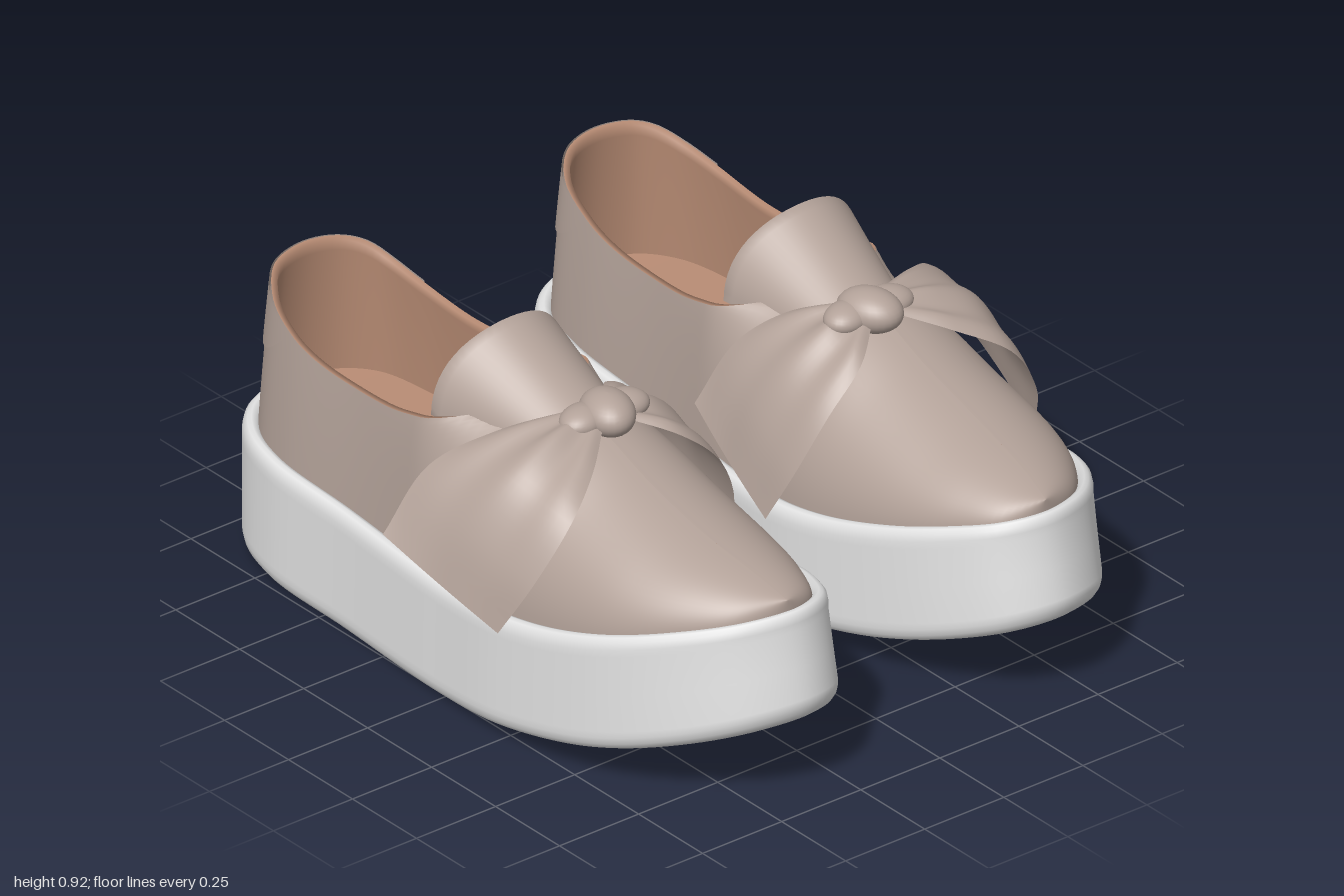
import * as THREE from 'three';

const V = (x, y, z) => new THREE.Vector3(x, y, z);
const smooth = (a, b, t) => THREE.MathUtils.smoothstep(t, a, b);
const lerp = THREE.MathUtils.lerp;

const fabric = new THREE.MeshStandardMaterial({ name: 'taupe fabric', color: 0xb3a299, side: THREE.DoubleSide });
const rubber = new THREE.MeshStandardMaterial({ name: 'white rubber', color: 0xe2e2e2 });
const leather = new THREE.MeshStandardMaterial({ name: 'tan leather', color: 0xb88c74, side: THREE.DoubleSide });

// Smooth curve through [position, value] pairs
function along(table, t) {
  const n = table.length;
  if (t <= table[0][0]) return table[0][1];
  if (t >= table[n - 1][0]) return table[n - 1][1];
  let i = 0;
  while (t > table[i + 1][0]) i++;
  const slope = (k) => {
    const a = table[Math.max(k - 1, 0)], b = table[Math.min(k + 1, n - 1)];
    return (b[1] - a[1]) / (b[0] - a[0]);
  };
  const [x0, y0] = table[i], [x1, y1] = table[i + 1];
  const h = x1 - x0, s = (t - x0) / h, s2 = s * s, s3 = s2 * s;
  return (2 * s3 - 3 * s2 + 1) * y0 + (s3 - 2 * s2 + s) * h * slope(i)
    + (3 * s2 - 2 * s3) * y1 + (s3 - s2) * h * slope(i + 1);
}

// Skin over rows of points; closed joins the end of each row to its start
function loft(rows, closed) {
  const n = rows[0].length, idx = [];
  for (let j = 0; j < rows.length - 1; j++) {
    for (let i = 0; i < (closed ? n : n - 1); i++) {
      const k = (i + 1) % n;
      const a = j * n + i, b = a + n, c = (j + 1) * n + k, d = j * n + k;
      idx.push(a, b, c, a, c, d);
    }
  }
  const g = new THREE.BufferGeometry().setFromPoints(rows.flat());
  g.setIndex(idx);
  g.computeVertexNormals();
  return g;
}

// Plan outline of the sole: heel, outer side, toe, inner side
const N = 180;
const plan = new THREE.CatmullRomCurve3([
  [0.455, -0.985], [0.6, -0.95], [0.695, -0.85], [0.742, -0.7], [0.755, -0.4], [0.785, 0], [0.8, 0.28],
  [0.755, 0.6], [0.66, 0.81], [0.54, 0.945], [0.39, 0.995], [0.27, 0.945], [0.185, 0.8], [0.12, 0.58],
  [0.085, 0.28], [0.11, 0], [0.155, -0.4], [0.18, -0.7], [0.225, -0.86], [0.32, -0.952],
].map(([x, z]) => V(x, 0, z)), true);
const outline = plan.getSpacedPoints(N).slice(0, N);
const inward = outline.map((p, i) => {
  const t = outline[(i + 1) % N].clone().sub(outline[(i + N - 1) % N]).normalize();
  return V(-t.z, 0, t.x);
});

// Profiles along the length
const middle = (z) => along([[-1, 0.456], [-0.4, 0.455], [0, 0.448], [0.3, 0.442], [0.6, 0.437], [0.8, 0.42], [1, 0.39]], z);
const soleTop = (z) => along([[-1, 0.37], [-0.6, 0.347], [0, 0.335], [0.2, 0.35], [0.4, 0.38], [0.6, 0.43], [0.8, 0.49], [0.96, 0.54]], z);
const soleBottom = (z) => along([[-1, 0.025], [-0.7, 0.003], [-0.3, 0], [0, 0.008], [0.2, 0.028], [0.4, 0.06], [0.6, 0.105], [0.8, 0.17], [1, 0.25]], z);
const topline = (z) => along([[-0.95, 0.772], [-0.88, 0.752], [-0.8, 0.715], [-0.65, 0.67], [-0.5, 0.652], [-0.3, 0.664],
  [-0.14, 0.705], [0, 0.745], [0.15, 0.77], [0.25, 0.745], [0.4, 0.688], [0.6, 0.632], [0.8, 0.587], [0.92, 0.55]], z);

// One point of the sole wall: inset d, height fraction h, height offset dy
function solePoint(i, d, h, dy) {
  const p = outline[i].clone().addScaledVector(inward[i], d);
  p.z -= 0.04 * smooth(0.5, 1, p.z) * h;
  p.y = lerp(soleBottom(p.z), soleTop(p.z), h) + dy;
  return p;
}
const ring = (d, h, dy) => outline.map((_, i) => solePoint(i, d, h, dy));
const towardMiddle = (row, f) => row.map((p) => V(lerp(p.x, middle(p.z), f), p.y, p.z));

// One point of the upper: v climbs from the sole to the collar, or to the ridge at the toe
function upperPoint(i, v, inset, drop) {
  const base = solePoint(i, 0.04 + inset, 1, -0.02);
  const top = outline[i].clone().addScaledVector(inward[i], 0.072 + inset);
  const close = smooth(-0.16, 0.17, base.z);
  top.x = lerp(top.x, middle(base.z), close);
  top.z = lerp(top.z, base.z, close);
  top.y = topline(base.z) - drop * close;
  const arch = lerp(0.15, 1, smooth(-0.4, 0.1, base.z)), a = v * Math.PI / 2;
  const across = lerp(v, 1 - Math.cos(a), arch), rise = lerp(v, Math.sin(a), arch);
  return V(lerp(base.x, top.x, across), lerp(base.y, top.y, rise), lerp(base.z, top.z, across));
}
const steps = (n) => Array.from({ length: n + 1 }, (_, k) => k / n);
const upperRow = (v, inset, drop) => outline.map((_, i) => upperPoint(i, v, inset, drop));

// Heel patch: a thin raised panel with a rounded lower edge
function heelPatch() {
  const half = 17, cols = [];
  for (let k = -half; k <= half; k++) cols.push(k);
  return loft(steps(8).map((t) => cols.map((k) => {
    const i = (k + N) % N, low = 0.5 + 0.48 * Math.abs(k / half) ** 4;
    return upperPoint(i, lerp(low, 1, t), 0, 0).addScaledVector(inward[i], -0.005);
  })), false);
}

// Tongue: an arch that widens and rises toward the opening
function tonguePoint(t, u, thick) {
  const a = u * Math.PI, s = Math.sin(a);
  const z = lerp(0.24, -0.145 + 0.045 * s ** 3, t);
  const w = lerp(0.12, 0.215, t) - thick, low = lerp(0.67, 0.7, t);
  const high = lerp(0.755, 0.922, t ** 1.1) - thick;
  return V(lerp(0.435, 0.457, t) + w * Math.cos(a), low + (high - low) * s, z);
}
const tongueRow = (t, thick) => steps(28).map((u) => tonguePoint(t, u, thick));

// Bow wing: cloth between a front and a back edge, puffed up and pleated at the knot
function wing(back, front, side) {
  const B = new THREE.CatmullRomCurve3(back.map((p) => V(...p)));
  const F = new THREE.CatmullRomCurve3(front.map((p) => V(...p)));
  const sheet = (off) => (u, v) => {
    const p = B.getPoint(u).lerp(F.getPoint(u), v), puff = Math.sin(v * Math.PI);
    const lift = 0.04 * puff * Math.sin(Math.PI * (0.12 + u * 0.8))
      + 0.012 * Math.sin(v * Math.PI * 5) * (1 - u) * Math.min(1, u * 5) - off * Math.min(1, puff * 3);
    return p.add(V(side * (0.35 + 0.3 * u), 0.9 - 0.5 * u, 0).multiplyScalar(lift));
  };
  const top = sheet(0), under = sheet(0.016);
  return loft(steps(24).map((u) => [
    ...steps(24).map((v) => top(u, v)),
    ...steps(24).reverse().map((v) => under(u, v)),
  ]), true);
}
const blob = (x, y, z, rx, ry, rz, turn) =>
  new THREE.SphereGeometry(1, 28, 18).scale(rx, ry, rz).rotateY(turn).translate(x, y, z);

function createShoe(mirror) {
  const shoe = new THREE.Group();
  const add = (name, g, mat) => {
    if (mirror) {
      g.scale(-1, 1, 1);
      g.setIndex(Array.from(g.index.array).reverse());
      g.computeVertexNormals();
    }
    const m = new THREE.Mesh(g, mat);
    m.name = name;
    shoe.add(m);
  };

  // Platform sole
  add('platformSole', loft([
    ring(0.03, 0, 0.003), ring(0.014, 0, 0.01), ring(0.004, 0, 0.024), ring(0, 0, 0.042), ring(0, 0, 0.06),
    ring(0, 0.5, 0), ring(0, 1, -0.055), ring(0, 1, -0.035), ring(0.004, 1, -0.016), ring(0.013, 1, -0.004),
    ring(0.024, 1, 0), ring(0.036, 1, -0.005), ring(0.046, 1, -0.02), ring(0.05, 1, -0.04),
  ], true), rubber);
  const edge = ring(0.03, 0, 0.003);
  add('outsole', loft([1, 0.75, 0.5, 0.25, 0].map((f) => towardMiddle(edge, f)), true), fabric);

  // Upper, lining and insole
  add('upper', loft(steps(18).map((v) => upperRow(v, 0, 0)), true), fabric);
  add('lining', loft([upperRow(1, 0, 0), ...steps(12).reverse().map((v) => upperRow(v, 0.016, 0.016))], true), leather);
  const bed = ring(0.055, 1, 0.015);
  add('insole', loft([0, 0.33, 0.66, 1].map((f) => towardMiddle(bed, f)), true), leather);
  add('heelPatch', heelPatch(), fabric);

  // Tongue
  add('tongue', loft([...steps(14).map((t) => tongueRow(t, 0)), tongueRow(1, 0.014)], false), fabric);
  add('tongueLining', loft(steps(14).reverse().map((t) => tongueRow(t, 0.014)), false), leather);

  // Bow
  add('outerBowWing', wing(
    [[0.47, 0.785, 0.17], [0.65, 0.75, 0.085], [0.79, 0.66, -0.01], [0.905, 0.49, -0.045]],
    [[0.45, 0.77, 0.255], [0.57, 0.72, 0.36], [0.69, 0.65, 0.425], [0.79, 0.5, 0.4], [0.845, 0.355, 0.33]], 1), fabric);
  add('innerBowWing', wing(
    [[0.38, 0.785, 0.16], [0.28, 0.74, 0.05], [0.19, 0.65, -0.035], [0.11, 0.48, -0.095]],
    [[0.39, 0.77, 0.255], [0.28, 0.72, 0.345], [0.17, 0.62, 0.355], [0.09, 0.47, 0.32], [0.055, 0.325, 0.25]], -1), fabric);
  add('bowKnot', blob(0.41, 0.778, 0.22, 0.068, 0.055, 0.09, 0.3), fabric);
  for (const [x, turn] of [[0.35, 0.3], [0.475, -0.25]]) {
    add('bowGather', blob(x, 0.772, 0.205, 0.07, 0.038, 0.055, turn), fabric);
  }
  return shoe;
}

export function createModel() {
  const model = new THREE.Group();
  model.name = 'platformShoes';
  const left = createShoe(false), right = createShoe(true);
  left.name = 'leftShoe';
  right.name = 'rightShoe';
  right.position.z = -0.013;
  model.add(left, right);
  return model;
}
